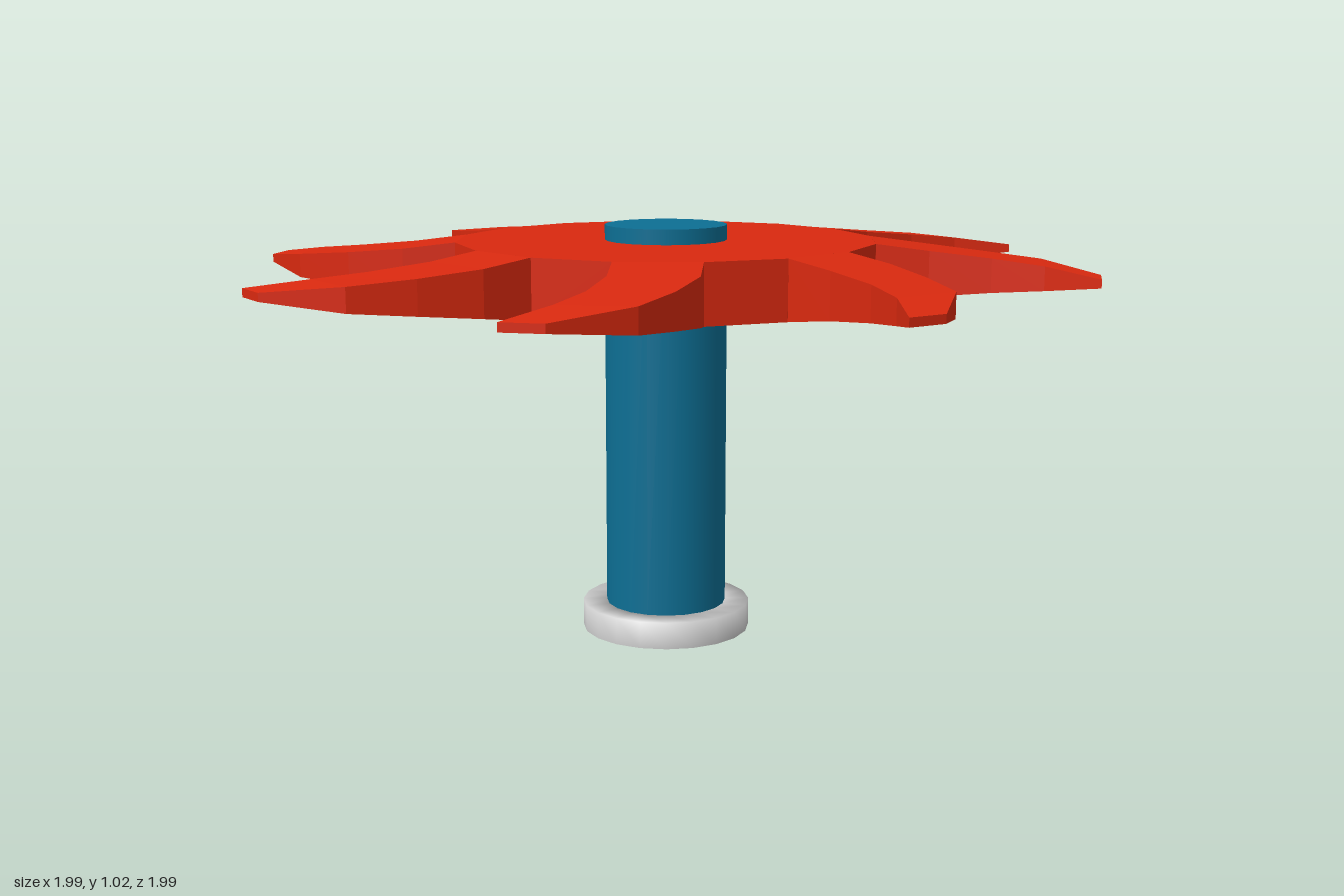
import * as THREE from 'three';

const RED = new THREE.MeshStandardMaterial({ color: 0xd9290f, flatShading: true });
const BLUE = new THREE.MeshStandardMaterial({ color: 0x0d6f94 });
const GREY = new THREE.MeshStandardMaterial({ color: 0xcccccc });

const HUB_Y = 0.912, HUB_R = 0.515, HALF = 0.071;

function add(parent, name, geometry, material, y = 0) {
  const mesh = new THREE.Mesh(geometry, material);
  mesh.name = name;
  mesh.position.y = y;
  parent.add(mesh);
  return mesh;
}

// Curved blade: rectangular sections that thin out towards the tip
function bladeGeometry() {
  // outer x, outer z, inner x, inner z, half thickness
  const sections = [
    [0, -0.515, 0.197, -0.476, HALF],
    [0.03, -0.64, 0.225, -0.6, 0.055],
    [0.105, -0.77, 0.285, -0.735, 0.041],
    [0.2, -0.89, 0.362, -0.838, 0.029],
    [0.39, -0.965, 0.48, -0.93, 0.01],
  ].map(([ox, oz, ix, iz, h]) => [[ox, h, oz], [ix, h, iz], [ix, -h, iz], [ox, -h, oz]]);

  const positions = [];
  const quad = (a, b, c, d) => positions.push(...a, ...b, ...c, ...a, ...c, ...d);
  for (let i = 0; i < sections.length - 1; i++) {
    const s = sections[i], t = sections[i + 1];
    for (let j = 0; j < 4; j++) {
      const k = (j + 1) % 4;
      quad(s[j], s[k], t[k], t[j]);
    }
  }
  quad(...sections[sections.length - 1]);

  const geometry = new THREE.BufferGeometry();
  geometry.setAttribute('position', new THREE.Float32BufferAttribute(positions, 3));
  geometry.computeVertexNormals();
  return geometry;
}

export function createModel() {
  const model = new THREE.Group();
  model.name = 'bladedWheel';

  // Base collar: open ring with softly shaded upper edges and a flat underside
  const profile = [[0.21, 0], [0.21, 0.067], [0.15, 0.067], [0.15, 0]]
    .map(([r, y]) => new THREE.Vector2(r, y));
  add(model, 'collar', new THREE.LatheGeometry(profile, 20), GREY);
  const underside = add(model, 'collarUnderside', new THREE.RingGeometry(0.15, 0.21, 20), GREY);
  underside.rotation.set(Math.PI / 2, 0, Math.PI / 2);

  // Shaft standing on the collar and passing through the hub
  add(model, 'shaft', new THREE.CylinderGeometry(0.15, 0.15, 0.953, 20), BLUE, 0.067 + 0.953 / 2);

  // Hub with eight blades on alternate faces
  add(model, 'hub', new THREE.CylinderGeometry(HUB_R, HUB_R, HALF * 2, 16), RED, HUB_Y);
  const blade = bladeGeometry();
  for (let i = 0; i < 8; i++) {
    add(model, `blade${i + 1}`, blade, RED, HUB_Y).rotation.y = (i * Math.PI) / 4;
  }
  return model;
}
